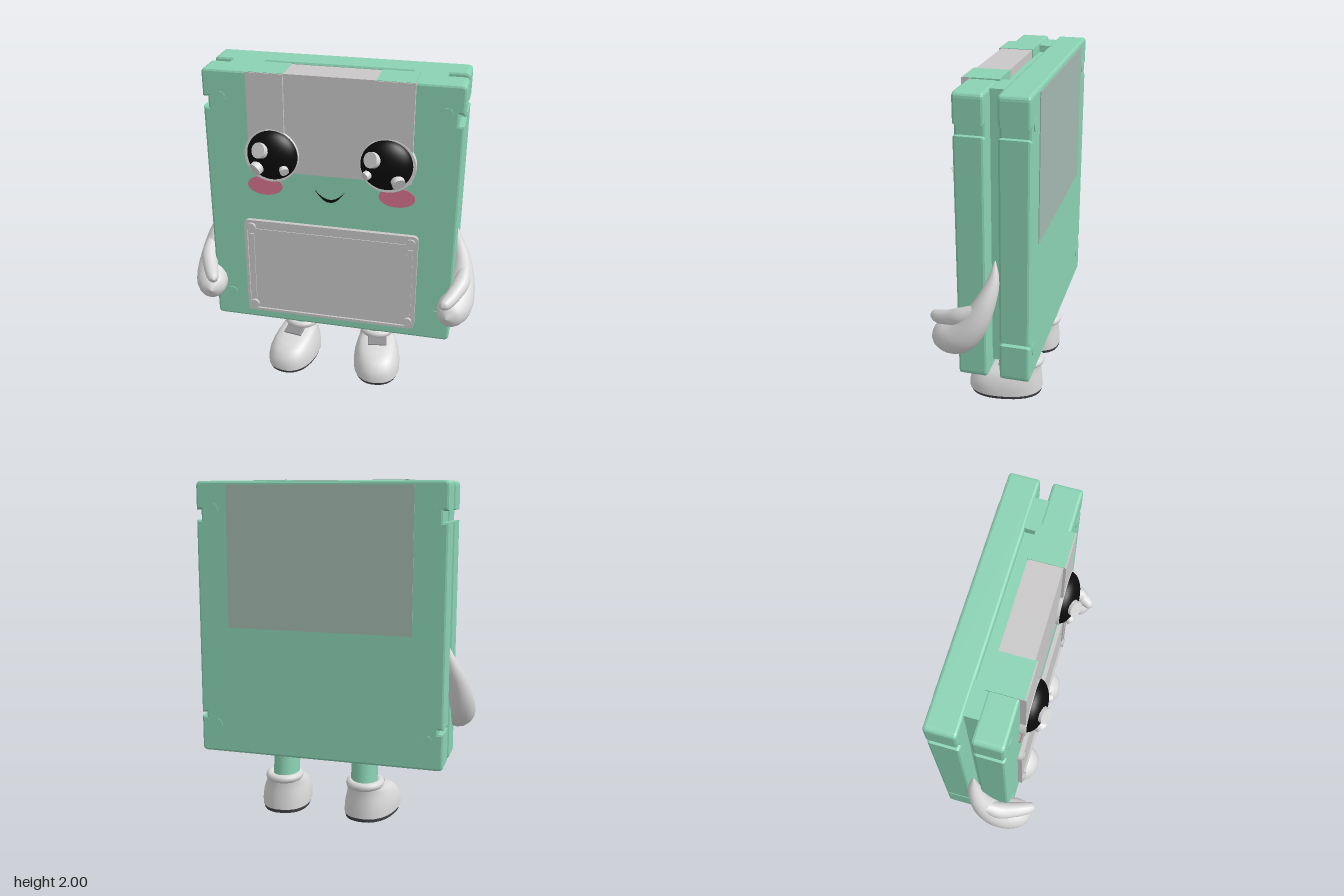
import * as THREE from 'three';
import { mergeVertices, toCreasedNormals } from 'three/addons/utils/BufferGeometryUtils.js';
import { RoundedBoxGeometry } from 'three/addons/geometries/RoundedBoxGeometry.js';

const mat = (name, color, side = THREE.FrontSide) => {
  const m = new THREE.MeshStandardMaterial({ color, side });
  m.name = name;
  return m;
};

export function createModel() {
  const green = mat('mint green', 0x8ad2b4);
  const metal = mat('metal grey', 0xc9c7c7);
  const white = mat('soft white', 0xdad9d9);
  const label = mat('back label grey', 0xa3b8b0);
  const black = mat('black', 0x0b0b0b);
  const pink = mat('cheek pink', 0xd6738f);
  const dark = mat('sole grey', 0x46464a);
  const tongueGrey = mat('tongue grey', 0x8c8c8e);

  const root = new THREE.Group();
  root.name = 'cartridgeCharacter';
  const add = (name, geo, material, x = 0, y = 0, z = 0, parent = root) => {
    const m = new THREE.Mesh(geo, material);
    m.name = name;
    m.position.set(x, y, z);
    parent.add(m);
    return m;
  };
  // Box given by its limits
  const box = (name, material, x0, x1, y0, y1, z0, z1) =>
    add(name, new THREE.BoxGeometry(x1 - x0, y1 - y0, z1 - z0), material, (x0 + x1) / 2, (y0 + y1) / 2, (z0 + z1) / 2);
  const disc = (r, h, seg = 24) => new THREE.CylinderGeometry(r, r, h, seg).rotateX(Math.PI / 2);

  // Tapered tube through points [x, y, z, radius]
  const taperTube = (pts) => {
    const n = 28, sides = 16;
    const curve = new THREE.CatmullRomCurve3(pts.map((p) => new THREE.Vector3(p[0], p[1], p[2])));
    const radii = new THREE.CatmullRomCurve3(pts.map((p, i) => new THREE.Vector3(i, p[3], 0)));
    const geo = new THREE.TubeGeometry(curve, n, 1, sides);
    const pos = geo.attributes.position, v = new THREE.Vector3();
    for (let i = 0; i <= n; i++) {
      const c = curve.getPointAt(i / n);
      const r = Math.max(0.001, radii.getPoint(curve.getUtoTmapping(i / n)).y);
      for (let j = 0; j <= sides; j++) {
        const k = i * (sides + 1) + j;
        v.fromBufferAttribute(pos, k).sub(c).multiplyScalar(r).add(c);
        pos.setXYZ(k, v.x, v.y, v.z);
      }
    }
    geo.deleteAttribute('uv');
    geo.deleteAttribute('normal');
    const merged = mergeVertices(geo, 1e-4);
    merged.computeVertexNormals();
    return merged;
  };

  // Stack of oval outlines: layers of [y, zBack, zFront, halfWidth], closed at both ends
  const ovalLoft = (layers) => {
    const n = 32, pos = [], idx = [];
    layers.forEach(([y, zb, zf, w]) => {
      for (let j = 0; j < n; j++) {
        const a = (j / n) * Math.PI * 2, c = Math.cos(a), s = Math.sin(a);
        const sq = (t) => Math.sign(t) * Math.abs(t) ** 0.85;
        pos.push(w * sq(s), y, (zb + zf) / 2 + ((zf - zb) / 2) * sq(c));
      }
    });
    for (let i = 0; i < layers.length - 1; i++)
      for (let j = 0; j < n; j++) {
        const a = i * n + j, b = i * n + ((j + 1) % n);
        idx.push(a, b, b + n, a, b + n, a + n);
      }
    [0, layers.length - 1].forEach((l, top) => {
      const [y, zb, zf] = layers[l], c = pos.length / 3;
      pos.push(0, y, (zb + zf) / 2);
      for (let j = 0; j < n; j++) {
        const a = l * n + j, b = l * n + ((j + 1) % n);
        top ? idx.push(c, a, b) : idx.push(c, b, a);
      }
    });
    const g = new THREE.BufferGeometry();
    g.setAttribute('position', new THREE.Float32BufferAttribute(pos, 3));
    g.setIndex(idx);
    return toCreasedNormals(g, 0.9);
  };

  // Body: two notched shells around a narrower core
  const shellGeo = (z0, z1, lowNotch) => {
    const X = 0.74, B = 0.37, T = 1.993, r = 0.03, s = new THREE.Shape();
    const notches = lowNotch ? [[0.59, 0.61], [1.77, 1.83]] : [[1.77, 1.83]];
    s.moveTo(-X + r, B).lineTo(X - r, B).quadraticCurveTo(X, B, X, B + r);
    notches.forEach(([a, b]) => s.lineTo(X, a).lineTo(X - 0.03, a).lineTo(X - 0.03, b).lineTo(X, b));
    s.lineTo(X, T - r).quadraticCurveTo(X, T, X - r, T).lineTo(-X + r, T).quadraticCurveTo(-X, T, -X, T - r);
    notches.slice().reverse().forEach(([a, b]) => s.lineTo(-X, b).lineTo(-X + 0.03, b).lineTo(-X + 0.03, a).lineTo(-X, a));
    s.lineTo(-X, B + r).quadraticCurveTo(-X, B, -X + r, B);
    const bev = 0.014;
    const g = new THREE.ExtrudeGeometry(s, { depth: z1 - z0 - 2 * bev, bevelThickness: bev, bevelSize: bev,
      bevelOffset: -bev, bevelSegments: 2, curveSegments: 4 });
    return g.translate(0, 0, z0 + bev);
  };
  add('frontShell', shellGeo(-0.04, 0.125, false), green);
  add('backShell', shellGeo(-0.28, -0.11, true), green);
  box('core', green, -0.62, 0.62, 0.42, 1.95, -0.13, -0.02);
  for (const s of [-1, 1]) {
    box('coreTopBlock', green, s * 0.525 - 0.095, s * 0.525 + 0.095, 1.94, 1.99, -0.13, -0.02);
    for (const y of [0.54, 1.83]) {
      add('frontScrew', disc(0.037, 0.01), green, s * 0.64, y, 0.124);
      add('backScrew', disc(0.037, 0.01), green, s * 0.64, y, -0.279);
    }
  }
  box('backLabel', label, -0.55, 0.55, 1.14, 1.97, -0.285, -0.278);

  // Sliding shutter with two raised side strips
  box('shutterMiddle', metal, -0.262, 0.262, 1.41, 1.997, -0.045, 0.142);
  for (const s of [-1, 1]) {
    box('shutterClip', green, s * 0.365 - 0.105, s * 0.365 + 0.105, 1.9, 2, -0.05, 0.15);
    box('shutterStrip', metal, s * 0.365 - 0.106, s * 0.365 + 0.106, 1.41, 1.998, 0.1, 0.157);
  }

  // Front panel: frame, recessed plate, rails and corner bolts
  const rounded = (path, x, y0, y1, r) => path.moveTo(-x + r, y0).lineTo(x - r, y0).quadraticCurveTo(x, y0, x, y0 + r)
    .lineTo(x, y1 - r).quadraticCurveTo(x, y1, x - r, y1).lineTo(-x + r, y1).quadraticCurveTo(-x, y1, -x, y1 - r)
    .lineTo(-x, y0 + r).quadraticCurveTo(-x, y0, -x + r, y0);
  const frame = rounded(new THREE.Shape(), 0.527, 0.44, 1.08, 0.035);
  frame.holes.push(rounded(new THREE.Path(), 0.51, 0.457, 1.063, 0.025));
  add('panelFrame', new THREE.ExtrudeGeometry(frame, { depth: 0.04, bevelEnabled: false }), metal, 0, 0, 0.11);
  box('panelPlate', metal, -0.515, 0.515, 0.45, 1.07, 0.11, 0.138);
  box('panelUpperBand', metal, -0.46, 0.46, 0.93, 1.02, 0.12, 0.143);
  for (const s of [-1, 1]) {
    box('panelRail', metal, s * 0.485 - 0.014, s * 0.485 + 0.014, 0.53, 0.985, 0.12, 0.147);
    for (const y of [0.487, 1.033]) add('panelBolt', disc(0.028, 0.04, 16), metal, s * 0.485, y, 0.138);
  }

  // Face: domed eyes with highlights, cheeks and smile
  const glints = { '-1': [[-0.05, 0.05, 0.045], [-0.075, -0.06, 0.04], [0.08, -0.06, 0.026]],
    '1': [[-0.07, 0.05, 0.045], [0.073, -0.07, 0.038], [-0.098, -0.045, 0.026]] };
  for (const s of [-1, 1]) {
    add('eyeRim', disc(0.16, 0.045, 40), white, s * 0.336, 1.514, 0.138);
    const eye = new THREE.Group();
    eye.name = 'eye';
    eye.position.set(s * 0.33, 1.52, 0.15);
    root.add(eye);
    add('eyeDome', new THREE.SphereGeometry(1, 40, 24).scale(0.15, 0.15, 0.085), black, 0, 0, 0, eye);
    for (const [x, y, r] of glints[s]) {
      const z = 0.085 * Math.sqrt(1 - (x * x + y * y) / 0.0225);
      const g = add('eyeHighlight', disc(r, 0.045), white, x, y, z, eye);
      g.lookAt(g.getWorldPosition(new THREE.Vector3()).add(new THREE.Vector3(x * 1.2, y * 1.2, 0.15)));
    }
    add('cheek', disc(1, 0.008, 40).scale(0.105, 0.06, 1), pink, s * 0.39, 1.31, 0.126);
  }
  const smile = new THREE.Shape();
  smile.moveTo(-0.09, 1.31).quadraticCurveTo(0, 1.165, 0.085, 1.31).quadraticCurveTo(0, 1.2, -0.09, 1.31);
  add('smile', new THREE.ExtrudeGeometry(smile, { depth: 0.006, bevelEnabled: false }), black, 0, 0, 0.123);

  for (const s of [-1, 1]) {
    // Tapered arm with mitten hand and thumb
    add('arm', taperTube([[0.71, 1.09, -0.085, 0.004], [0.735, 0.98, -0.08, 0.035], [0.775, 0.85, -0.04, 0.06],
      [0.785, 0.72, 0.03, 0.085], [0.77, 0.64, 0.11, 0.1], [0.745, 0.62, 0.19, 0.09], [0.73, 0.62, 0.245, 0.058],
      [0.725, 0.62, 0.27, 0.001]].map(([x, y, z, r]) => [s * x, y, z, r])), white);
    add('thumb', taperTube([[0.8, 0.84, -0.02, 0.03], [0.79, 0.775, 0.08, 0.05], [0.755, 0.735, 0.17, 0.045],
      [0.72, 0.715, 0.24, 0.038], [0.7, 0.71, 0.275, 0.025], [0.695, 0.708, 0.285, 0.001]]
      .map(([x, y, z, r]) => [s * x, y, z, r])), white);

    // Leg, leaning slightly back
    const leg = add('leg', new THREE.CylinderGeometry(0.08, 0.08, 0.3, 24), green, s * 0.247, 0.33, -0.12);
    leg.rotation.x = 0.14;

    // Boot, toes turned a little outward
    const boot = new THREE.Group();
    boot.name = 'boot';
    boot.position.set(s * 0.256, 0, -0.145);
    boot.rotation.y = s * 0.17;
    root.add(boot);
    add('sole', ovalLoft([[0, -0.1, 0.335, 0.142], [0.022, -0.105, 0.342, 0.147]]), dark, 0, 0, 0, boot);
    add('bootUpper', ovalLoft([[0.022, -0.105, 0.345, 0.15], [0.06, -0.104, 0.345, 0.15], [0.1, -0.1, 0.33, 0.145],
      [0.14, -0.097, 0.295, 0.132], [0.165, -0.095, 0.245, 0.122], [0.185, -0.095, 0.165, 0.112],
      [0.2, -0.095, 0.1, 0.102], [0.23, -0.098, 0.098, 0.1]]), white, 0, 0, 0, boot);
    const collar = add('bootCollar', new THREE.TorusGeometry(0.09, 0.025, 12, 32).rotateX(Math.PI / 2), white, 0, 0.218, 0, boot);
    collar.rotation.x = -0.06;
    const tongue = add('bootTongue', new RoundedBoxGeometry(0.12, 0.012, 0.08, 2, 0.005), tongueGrey, 0, 0.199, 0.125, boot);
    tongue.rotation.x = 0.27;
  }
  return root;
}
